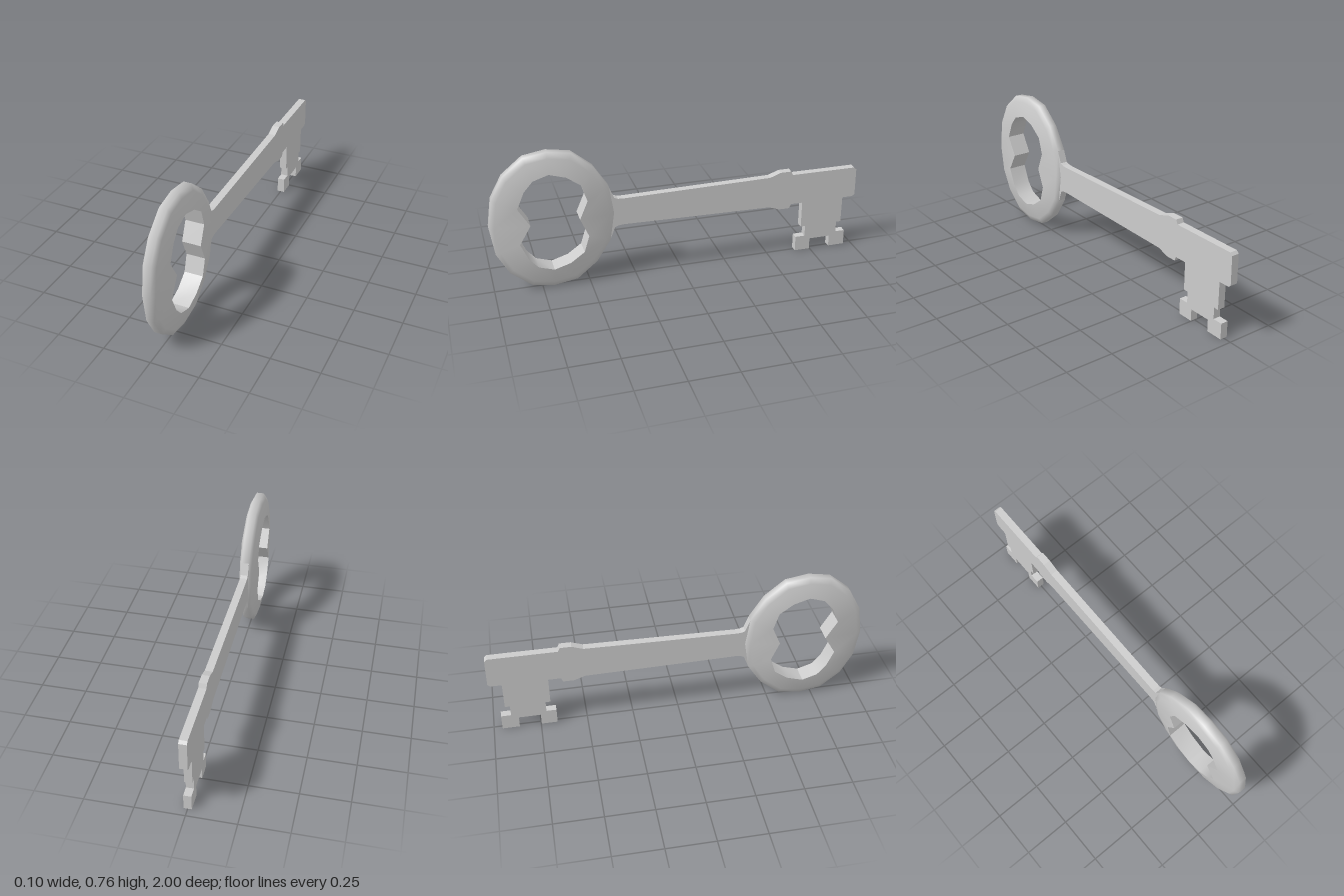
import * as THREE from 'three';
import { toCreasedNormals } from 'three/addons/utils/BufferGeometryUtils.js';

const MID_Y = 0.38, MID_Z = 0.688;

// Upper half of a loop as [z, height above the middle], mirrored to close it
const closeLoop = (half) => [...half, ...half.slice(1, -1).reverse().map(([z, h]) => [z, -h])];

// Skin over rings of matching points; each ring is { x, points }
function loft(rings, crease) {
  const n = rings[0].points.length, pos = [], index = [];
  for (const { x, points } of rings)
    for (const [z, h] of points) pos.push(x, MID_Y + h, z);
  for (let k = 0; k < rings.length - 1; k++) {
    for (let j = 0; j < n; j++) {
      const a = k * n + j, c = k * n + (j + 1) % n;
      index.push(a, c, a + n, c, c + n, a + n);
    }
  }
  const g = new THREE.BufferGeometry();
  g.setAttribute('position', new THREE.Float32BufferAttribute(pos, 3));
  g.setIndex(index);
  return toCreasedNormals(g, crease);
}

export function createModel() {
  const key = new THREE.Group();
  key.name = 'key';
  const material = new THREE.MeshStandardMaterial({ color: 0xcccccc });
  const add = (geometry, name, parent) => {
    const mesh = new THREE.Mesh(geometry, material);
    mesh.name = name;
    parent.add(mesh);
  };

  // Bow: thick at the hole, tapering to a thin rounded rim
  const rim = closeLoop([[1, 0], [0.977, 0.153], [0.913, 0.27], [0.806, 0.358], [0.688, 0.378],
    [0.565, 0.358], [0.458, 0.27], [0.383, 0.153], [0.36, 0]]);
  const hole = closeLoop([[0.795, 0], [0.854, 0.1], [0.815, 0.19], [0.768, 0.243], [0.688, 0.269],
    [0.602, 0.243], [0.528, 0.19], [0.5, 0.1], [0.543, 0]]);
  const shoulder = rim.map(([z, h]) => [MID_Z + (z - MID_Z) * 0.92, h * 0.92]);
  const bow = new THREE.Group();
  bow.name = 'bow';
  key.add(bow);
  add(loft([
    { x: 0.05, points: hole }, { x: 0.034, points: shoulder }, { x: 0.02, points: rim },
    { x: -0.02, points: rim }, { x: -0.034, points: shoulder }, { x: -0.05, points: hole },
  ], 1.3), 'bowRing', bow);
  add(loft([{ x: -0.05, points: hole }, { x: 0.05, points: hole }], 0.6), 'bowHoleWall', bow);

  // Blade: flared neck, shaft, collar and toothed bit in one flat outline of [z, y]
  const outline = [
    [0.42, 0.56], [0.383, 0.53], [0.357, 0.465], [0.338, 0.457], [0.31, 0.455], [0, 0.46], [-0.495, 0.468],
    [-0.555, 0.49], [-0.615, 0.49], [-0.625, 0.468], [-0.985, 0.468], [-0.998, 0.455],
    [-1, 0.305], [-0.985, 0.294], [-0.928, 0.294], [-0.928, 0.146], [-0.902, 0.146],
    [-0.902, 0.085], [-0.955, 0.085], [-0.955, 0], [-0.864, 0], [-0.864, 0.063],
    [-0.747, 0.063], [-0.747, 0], [-0.662, 0], [-0.662, 0.085], [-0.715, 0.085],
    [-0.715, 0.146], [-0.689, 0.146], [-0.689, 0.294], [-0.622, 0.294], [-0.613, 0.271],
    [-0.555, 0.271], [-0.495, 0.292], [0, 0.3], [0.31, 0.306], [0.338, 0.303], [0.357, 0.295],
    [0.383, 0.23], [0.42, 0.2],
  ];
  const blade = new THREE.ExtrudeGeometry(
    new THREE.Shape(outline.map(([z, y]) => new THREE.Vector2(z, y))),
    { depth: 0.04, bevelEnabled: false });
  blade.translate(0, 0, -0.02).rotateY(-Math.PI / 2);
  add(blade, 'shaftAndBit', key);

  return key;
}
